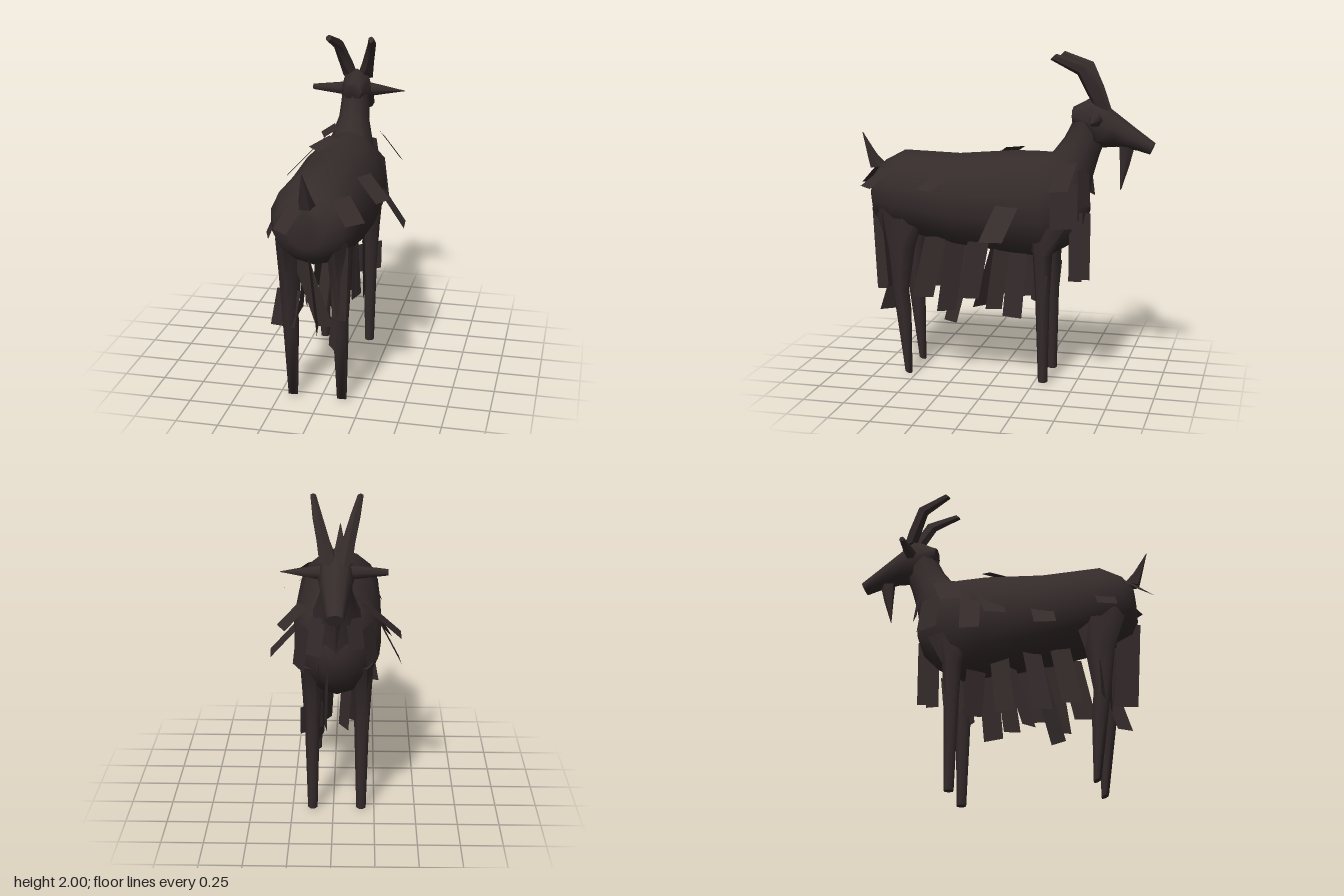
import * as THREE from 'three';
import { toCreasedNormals } from 'three/addons/utils/BufferGeometryUtils.js';

const coat = new THREE.MeshStandardMaterial({ color: 0x352b2b, side: THREE.DoubleSide });
coat.name = 'dark brown coat';
const CX = -0.022; // the animal's middle plane

// Closed tube through rings of [z, y of one edge, z, y of the opposite edge, half width, x]
function loft(rings, sides, crease = 1.1) {
  const pos = [], index = [];
  for (const [za, ya, zb, yb, hw, x = CX] of rings) {
    for (let i = 0; i < sides; i++) {
      const t = (i / sides) * Math.PI * 2, c = Math.cos(t) / 2;
      pos.push(x + Math.sin(t) * hw, (ya + yb) / 2 + (yb - ya) * c, (za + zb) / 2 + (zb - za) * c);
    }
  }
  const last = (rings.length - 1) * sides;
  for (let r = 0; r < last; r += sides) {
    for (let i = 0; i < sides; i++) {
      const j = (i + 1) % sides;
      index.push(r + i, r + j, r + sides + i, r + j, r + sides + j, r + sides + i);
    }
  }
  for (let i = 1; i < sides - 1; i++) index.push(0, i + 1, i, last, last + i, last + i + 1);
  // Turn the faces outward if the enclosed volume comes out negative
  let volume = 0;
  const v = (k) => new THREE.Vector3().fromArray(pos, k * 3);
  for (let k = 0; k < index.length; k += 3) volume += v(index[k]).dot(v(index[k + 1]).cross(v(index[k + 2])));
  if (volume < 0) index.reverse();
  const g = new THREE.BufferGeometry();
  g.setAttribute('position', new THREE.Float32BufferAttribute(pos, 3));
  g.setIndex(index);
  return toCreasedNormals(g, crease);
}

// Flat locks of hair: [root x, y, z, tip x, y, z, width, heading of the width in degrees from z]
function locks(rows) {
  const pos = [], index = [];
  for (const [x, y, z, u, v, w, width, deg] of rows) {
    const a = THREE.MathUtils.degToRad(deg);
    const dx = Math.sin(a) * width / 2, dz = Math.cos(a) * width / 2, n = pos.length / 3;
    pos.push(x - dx, y, z - dz, x + dx, y, z + dz, u + dx, v, w + dz, u - dx, v, w - dz);
    index.push(n, n + 1, n + 2, n, n + 2, n + 3);
  }
  const g = new THREE.BufferGeometry();
  g.setAttribute('position', new THREE.Float32BufferAttribute(pos, 3));
  g.setIndex(index);
  g.computeVertexNormals();
  return g;
}

export function createModel() {
  const model = new THREE.Group();
  model.name = 'goat';
  const add = (name, geometry) => {
    const mesh = new THREE.Mesh(geometry, coat);
    mesh.name = name;
    model.add(mesh);
    return mesh;
  };

  // Trunk, from rump to chest
  add('body', loft([
    [0.8, 1.03, 0.79, 1.25, 0.1],
    [0.77, 0.96, 0.73, 1.32, 0.2],
    [0.62, 0.88, 0.6, 1.39, 0.255],
    [0.25, 0.81, 0.25, 1.38, 0.268],
    [-0.1, 0.77, -0.1, 1.41, 0.268],
    [-0.3, 0.76, -0.28, 1.41, 0.255],
    [-0.43, 0.84, -0.37, 1.4, 0.21],
    [-0.52, 0.94, -0.44, 1.37, 0.14],
    [-0.56, 1.06, -0.5, 1.3, 0.06],
  ], 14));

  // Neck rising from the shoulders
  add('neck', loft([
    [-0.53, 1.02, -0.2, 1.38, 0.17],
    [-0.57, 1.26, -0.33, 1.41, 0.13],
    [-0.61, 1.4, -0.4, 1.5, 0.095],
    [-0.64, 1.48, -0.45, 1.6, 0.09],
    [-0.66, 1.58, -0.46, 1.68, 0.08],
  ], 10));

  // Skull and muzzle
  add('head', loft([
    [-0.45, 1.58, -0.45, 1.68, 0.06],
    [-0.6, 1.44, -0.58, 1.75, 0.108],
    [-0.71, 1.45, -0.67, 1.68, 0.09],
    [-0.84, 1.43, -0.83, 1.56, 0.065],
    [-0.91, 1.41, -0.94, 1.48, 0.05],
  ], 8));

  // Pointed beard and upright tail
  add('beard', loft([
    [-0.72, 1.46, -0.82, 1.46, 0.035],
    [-0.73, 1.34, -0.79, 1.34, 0.025],
    [-0.738, 1.19, -0.742, 1.19, 0.003],
  ], 5));
  add('tail', loft([
    [0.83, 1.27, 0.72, 1.29, 0.05],
    [0.845, 1.34, 0.79, 1.36, 0.035],
    [0.88, 1.49, 0.876, 1.49, 0.003],
  ], 5));

  for (const s of [1, -1]) {
    const side = s > 0 ? 'East' : 'West';
    // Swept-back horns
    add('horn' + side, loft([
      [-0.67, 1.67, -0.57, 1.71, 0.052, CX + s * 0.045],
      [-0.62, 1.8, -0.54, 1.77, 0.042, CX + s * 0.07],
      [-0.55, 1.94, -0.49, 1.88, 0.03, CX + s * 0.105],
      [-0.37, 2, -0.335, 1.965, 0.018, CX + s * 0.132],
    ], 6, 0.7));

    // Ears: one pointed, one blunt
    const ear = add('ear' + side, new THREE.CylinderGeometry(s > 0 ? 0.002 : 0.02, 0.05, 0.22, 6));
    ear.rotation.z = -s * Math.PI / 2;
    ear.scale.set(0.9, 1, 0.8);
    ear.position.set(s > 0 ? 0.175 : -0.2, 1.615, -0.6);

    // Legs
    const x = CX + s * 0.148;
    add('hindLeg' + side, loft([
      [0.42, 1.05, 0.76, 1.05, 0.07, x],
      [0.5, 0.8, 0.68, 0.82, 0.065, x],
      [0.545, 0.54, 0.65, 0.56, 0.05, x],
      [0.53, 0.4, 0.63, 0.42, 0.045, x],
      [0.53, 0, 0.575, 0.02, 0.03, x],
    ], 7));
    add('foreLeg' + side, loft([
      [-0.46, 0.98, -0.18, 0.98, 0.07, x],
      [-0.36, 0.8, -0.24, 0.8, 0.06, x],
      [-0.345, 0.55, -0.255, 0.55, 0.045, x],
      [-0.335, 0.01, -0.275, 0.01, 0.03, x],
    ], 7));
  }

  // Long locks under the belly
  add('bellyFur', locks([
    [0.12, 0.88, 0.37, 0.14, 0.5, 0.45, 0.13, 10],
    [0.08, 0.86, 0.25, 0.1, 0.41, 0.31, 0.12, 25],
    [0.16, 0.87, 0.09, 0.18, 0.52, 0.15, 0.13, 5],
    [0.02, 0.85, 0.17, 0.05, 0.33, 0.3, 0.11, -30],
    [-0.06, 0.82, 0.02, -0.09, 0.4, 0.15, 0.1, 50],
    [0.09, 0.82, -0.04, 0.1, 0.44, 0.01, 0.1, 15],
    [0.05, 0.8, -0.13, 0.08, 0.39, -0.1, 0.13, -15],
    [-0.13, 0.85, 0.35, -0.15, 0.5, 0.42, 0.12, 0],
    [-0.14, 0.85, 0.18, -0.16, 0.47, 0.25, 0.11, 20],
    [-0.13, 0.84, -0.02, -0.15, 0.48, 0.02, 0.12, -10],
    [-0.08, 0.82, -0.17, -0.06, 0.5, -0.2, 0.12, 30],
  ]));

  // Locks hanging at the hindquarters, chest and legs
  add('hangingFur', locks([
    [-0.02, 1.02, 0.75, 0.02, 0.51, 0.71, 0.14, 10],
    [0.15, 1.02, 0.68, 0.13, 0.56, 0.65, 0.09, 80],
    [-0.12, 1.0, 0.64, 0.04, 0.5, 0.62, 0.1, 90],
    [0.1, 0.56, 0.64, 0.1, 0.4, 0.69, 0.1, 35],
    [-0.17, 0.71, 0.61, -0.21, 0.48, 0.62, 0.15, 80],
    [0.17, 1.24, -0.43, 0.2, 0.98, -0.44, 0.17, 25],
    [0.08, 1.06, -0.49, 0.09, 0.64, -0.49, 0.08, 0],
    [0.03, 1.05, -0.52, 0.04, 0.64, -0.52, 0.1, 10],
    [-0.2, 1.24, -0.43, -0.23, 1.02, -0.45, 0.15, -25],
    [0.13, 0.69, -0.29, 0.13, 0.51, -0.27, 0.17, 130],
    [-0.17, 0.7, -0.3, -0.18, 0.52, -0.28, 0.13, 30],
  ]));

  // Short tufts standing off the back and flanks
  add('tufts', locks([
    [0.22, 1.13, -0.11, 0.39, 0.92, -0.04, 0.14, 5],
    [0.17, 1.37, -0.45, 0.3, 1.22, -0.42, 0.12, 25],
    [0.19, 1.31, 0.25, 0.33, 1.2, 0.38, 0.12, -30],
    [0.14, 1.3, 0.65, 0.25, 1.19, 0.77, 0.13, -45],
    [-0.07, 1.3, 0.74, -0.15, 1.16, 0.88, 0.12, 50],
    [-0.17, 1.36, -0.36, -0.4, 1.12, -0.25, 0.14, 0],
    [-0.21, 1.3, -0.18, -0.4, 0.92, -0.14, 0.12, 5],
    [-0.06, 1.425, -0.09, -0.17, 1.37, -0.01, 0.13, 40],
    [-0.24, 1.22, -0.07, -0.33, 1.04, 0.0, 0.13, 20],
    [-0.25, 1.1, 0.26, -0.34, 0.94, 0.3, 0.13, 10],
    [-0.22, 1.2, 0.62, -0.28, 1.05, 0.66, 0.12, 20],
    [-0.12, 1.41, -0.42, -0.2, 1.36, -0.38, 0.14, 20],
    [0.08, 1.32, -0.53, 0.11, 1.1, -0.55, 0.1, 60],
    [-0.12, 1.32, -0.53, -0.14, 1.14, -0.55, 0.1, -60],
  ]));

  return model;
}
